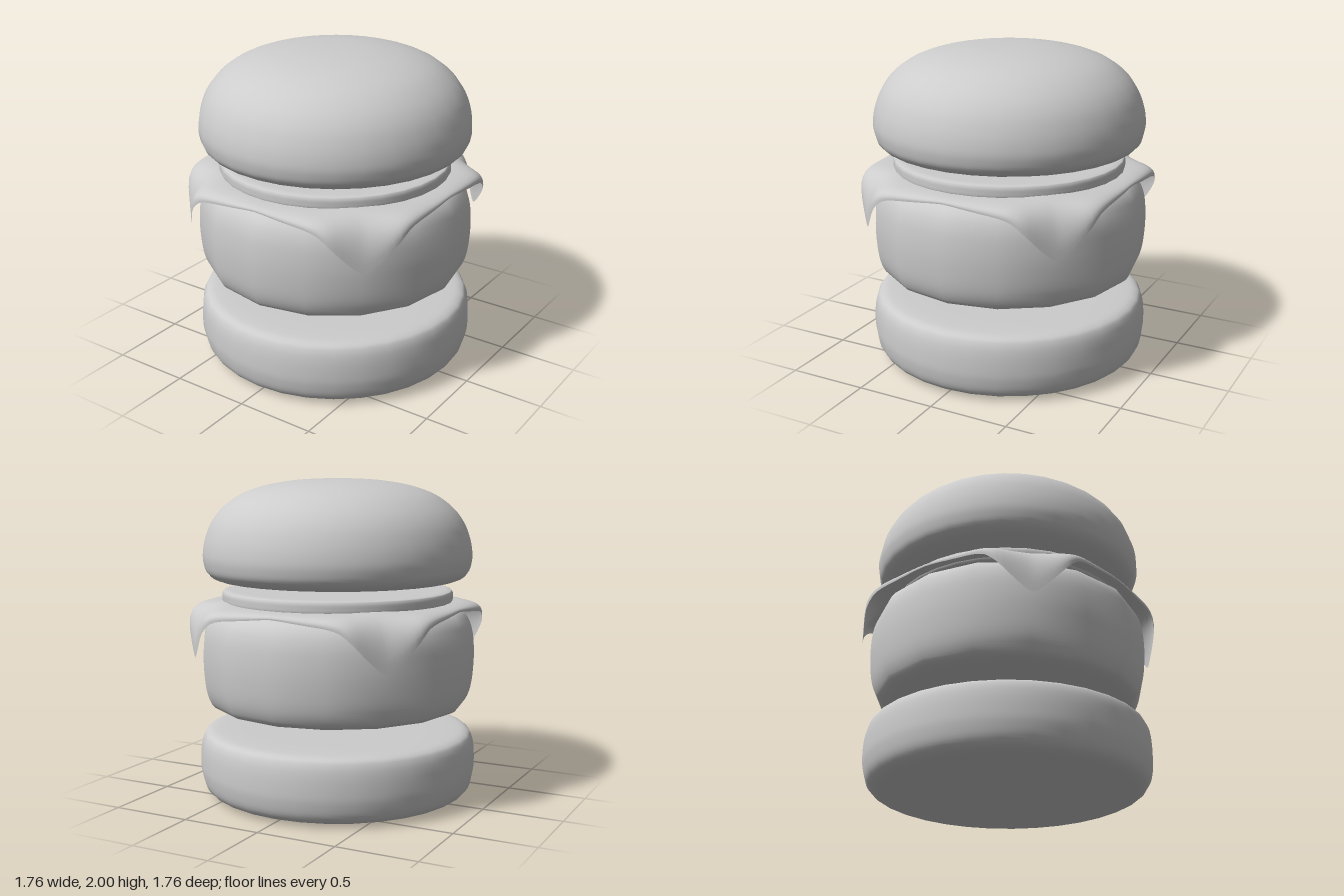
import * as THREE from 'three';

const grey = new THREE.MeshStandardMaterial({ color: 0xcccccc, side: THREE.DoubleSide });
grey.name = 'plain grey';

// Smooth round layer turned from a bottom-to-top profile of [radius, height]
function layer(name, profile, sides) {
  const curve = new THREE.SplineCurve(profile.map(([r, y]) => new THREE.Vector2(r, y)));
  const points = curve.getPoints(profile.length * 4).map(p => new THREE.Vector2(Math.max(p.x, 0), p.y));
  const mesh = new THREE.Mesh(new THREE.LatheGeometry(points, sides), grey);
  mesh.name = name;
  return mesh;
}

// Square slice whose four corners droop over the patty
function cheeseSlice() {
  // Half of one side, from its middle to the corner tip: [outward, height, along]
  const half = [
    [0.83, 1.205, 0], [0.83, 1.195, 0.12], [0.825, 1.182, 0.25], [0.82, 1.172, 0.35], [0.81, 1.15, 0.43],
    [0.79, 1.09, 0.5], [0.74, 1.01, 0.56], [0.69, 0.945, 0.61], [0.65, 0.91, 0.65],
  ];
  const side = [
    ...half.slice(1, -1).reverse().map(([a, y, b]) => [a, y, -b]),
    ...half,
  ];
  const rim = [];
  for (let q = 0; q < 4; q++) {
    const c = Math.round(Math.cos(q * Math.PI / 2)), s = Math.round(Math.sin(q * Math.PI / 2));
    for (const [a, y, b] of side) rim.push(new THREE.Vector3(a * c - b * s, y, a * s + b * c));
  }
  const edge = new THREE.CatmullRomCurve3(rim, true).getPoints(128).slice(0, -1);
  const n = edge.length, rings = 12;

  // Flat middle, then a curve bending down to the rim
  const pos = [0, 1.24, 0], index = [];
  for (let k = 0; k <= rings; k++) {
    const t = k / rings;
    for (const e of edge) {
      const r = Math.hypot(e.x, e.z);
      const radius = (1 - t) ** 2 * 0.68 + 2 * t * (1 - t) * Math.max(r * 1.02, 0.8) + t * t * r;
      const droop = (1.205 - e.y) / 0.295;
      const top = 1.24 + 0.01 * droop;
      const y = (1 - t * t) * top + t * t * e.y;
      pos.push(e.x / r * radius, y, e.z / r * radius);
    }
  }
  for (let i = 0; i < n; i++) {
    const j = (i + 1) % n;
    index.push(0, 1 + j, 1 + i);
    for (let k = 0; k < rings; k++) {
      const a = 1 + k * n + i, b = 1 + k * n + j;
      index.push(a, b, a + n, b, b + n, a + n);
    }
  }
  const geo = new THREE.BufferGeometry();
  geo.setAttribute('position', new THREE.Float32BufferAttribute(pos, 3));
  geo.setIndex(index);
  geo.computeVertexNormals();
  const mesh = new THREE.Mesh(geo, grey);
  mesh.name = 'cheeseSlice';
  return mesh;
}

export function createModel() {
  const burger = new THREE.Group();
  burger.name = 'burger';
  burger.add(
    layer('bottomBun', [
      [0, 0], [0.5, 0.004], [0.72, 0.01], [0.81, 0.025], [0.855, 0.07], [0.876, 0.15], [0.88, 0.22],
      [0.875, 0.31], [0.86, 0.375], [0.83, 0.41], [0.75, 0.425], [0.5, 0.43], [0, 0.43],
    ], 32),
    layer('patty', [
      [0, 0.548], [0.5, 0.55], [0.7, 0.56], [0.79, 0.58], [0.83, 0.63], [0.855, 0.72], [0.867, 0.86],
      [0.864, 0.98], [0.85, 1.07], [0.82, 1.14], [0.77, 1.185], [0.68, 1.205], [0.5, 1.21], [0, 1.21],
    ], 16),
    cheeseSlice(),
    layer('tomatoSlice', [
      [0, 1.215], [0.6, 1.215], [0.7, 1.22], [0.725, 1.235], [0.729, 1.265], [0.726, 1.295],
      [0.705, 1.308], [0.6, 1.311], [0, 1.311],
    ], 32),
    layer('topBun', [
      [0, 1.346], [0.4, 1.348], [0.63, 1.355], [0.76, 1.375], [0.82, 1.415], [0.842, 1.475], [0.846, 1.54],
      [0.83, 1.63], [0.79, 1.73], [0.72, 1.82], [0.61, 1.9], [0.46, 1.955], [0.28, 1.987], [0.12, 1.998], [0, 2],
    ], 32),
  );
  return burger;
}
